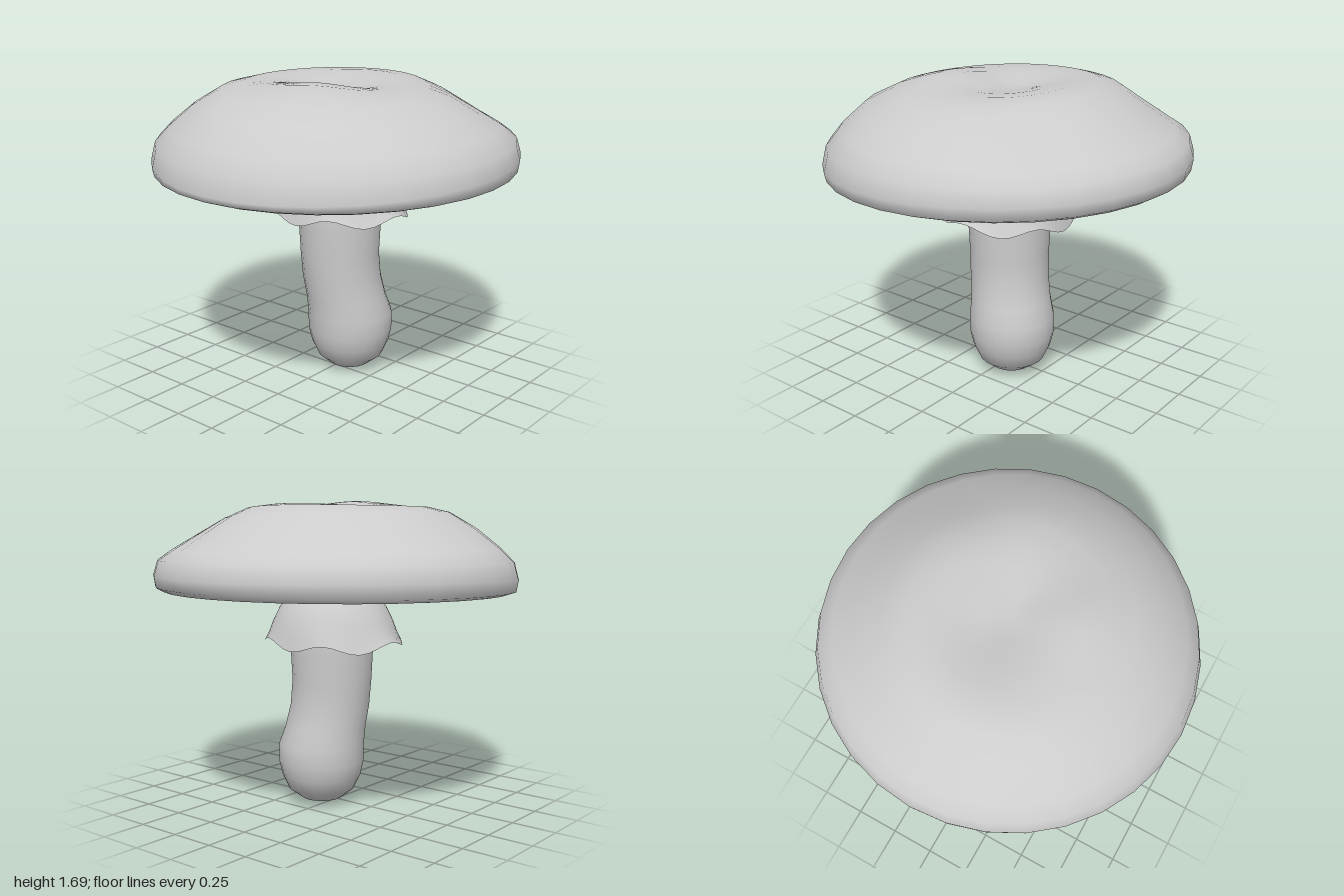
import * as THREE from 'three';
import { mergeVertices } from 'three/addons/utils/BufferGeometryUtils.js';

const material = new THREE.MeshStandardMaterial({ color: 0xcccccc, roughness: 0.8 });

// Smooth skin through closed rings; point(row, angle, t) returns [x, y, z].
function loft(name, rows, sides, point, mat = material) {
  const positions = [], index = [];
  rows.forEach((row, i) => {
    for (let j = 0; j < sides; j++) {
      positions.push(...point(row, (j / sides) * Math.PI * 2, i / (rows.length - 1)));
      if (i === rows.length - 1) continue;
      const k = (j + 1) % sides, a = i * sides, b = a + sides;
      index.push(a + j, b + j, b + k, a + j, b + k, a + k);
    }
  });
  let geometry = new THREE.BufferGeometry();
  geometry.setAttribute('position', new THREE.Float32BufferAttribute(positions, 3));
  geometry.setIndex(index);
  geometry = mergeVertices(geometry, 1e-5);
  geometry.computeVertexNormals();
  const mesh = new THREE.Mesh(geometry, mat);
  mesh.name = name;
  return mesh;
}

// Blend of four heights given towards +x, +z, -x and -z.
function around([px, pz, nx, nz], a) {
  return (px + pz + nx + nz) / 4 + ((px - nx) / 2) * Math.cos(a) + ((pz - nz) / 2) * Math.sin(a)
    + ((px + nx - pz - nz) / 4) * Math.cos(2 * a);
}

// Cap: shallow underside, rolled rim, uneven shoulder and dimpled crown.
function createCap() {
  const rows = [
    [0.18, 1.22, 1.22, 1.22, 1.22],
    [0.2, 1.255, 1.255, 1.255, 1.255],
    [0.26, 1.28, 1.28, 1.28, 1.28],
    [0.4, 1.3, 1.3, 1.3, 1.3],
    [0.6, 1.3, 1.295, 1.29, 1.295],
    [0.8, 1.285, 1.275, 1.265, 1.28],
    [0.88, 1.26, 1.24, 1.225, 1.25],
    [0.92, 1.225, 1.205, 1.185, 1.215],
    [0.95, 1.215, 1.195, 1.175, 1.205],
    [0.99, 1.24, 1.21, 1.19, 1.22],
    [1.0, 1.3, 1.27, 1.22, 1.29],
    [0.975, 1.385, 1.36, 1.33, 1.375],
    [0.9, 1.43, 1.44, 1.42, 1.44],
    [0.77, 1.52, 1.53, 1.545, 1.53],
    [0.62, 1.615, 1.61, 1.615, 1.63],
    [0.5, 1.665, 1.64, 1.645, 1.66],
    [0.38, 1.675, 1.65, 1.665, 1.655],
    [0.26, 1.66, 1.645, 1.665, 1.64],
    [0.13, 1.635, 1.625, 1.635, 1.615],
    [0, 1.615, 1.615, 1.615, 1.615],
  ];
  return loft('cap', rows, 32, ([r, ...heights], a, t) => {
    const x = r * Math.cos(a), z = r * Math.sin(a);
    // Low hump on the crown and a hollow in the shoulder, upper skin only.
    const mound = (cx, cz, width) => Math.exp(-((x - cx) ** 2 + (z - cz) ** 2) / width ** 2);
    const lumps = t > 0.55 ? 0.025 * mound(-0.32, 0.15, 0.2) - 0.025 * mound(0.5, 0.5, 0.22) : 0;
    return [x, around(heights, a) + lumps, z];
  });
}

// Stem: bulbous bent foot and slim shaft. Rows: radius, y, centre x, centre z.
function createStem() {
  const rows = [
    [0, 0, 0.06, 0.04],
    [0.115, 0.025, 0.065, 0.05],
    [0.185, 0.08, 0.07, 0.05],
    [0.222, 0.16, 0.07, 0.05],
    [0.24, 0.24, 0.07, 0.05],
    [0.24, 0.34, 0.068, 0.05],
    [0.226, 0.44, 0.05, 0.035],
    [0.222, 0.56, 0.03, 0.02],
    [0.222, 0.7, 0.022, 0.012],
    [0.23, 0.86, 0.022, 0.012],
    [0.225, 1.0, 0.02, 0.01],
    [0.2, 1.15, 0.015, 0.01],
    [0.182, 1.23, 0, 0],
  ];
  return loft('stem', rows, 24, ([r, y, cx, cz], a) =>
    [cx + r * Math.cos(a), y, cz + r * Math.sin(a)]);
}

// Skirt: thin bell-shaped collar with a wavy, slightly flared hem.
function createSkirt() {
  const rows = [[0.378, 0.93], [0.355, 0.975], [0.33, 1.04], [0.295, 1.11], [0.25, 1.17], [0.185, 1.22]];
  const thin = material.clone();
  thin.side = THREE.DoubleSide;
  return loft('skirt', rows, 48, ([r, y], a, t) => {
    const hem = (1 - t) ** 3;
    const wave = 0.015 * Math.cos(a) + 0.015 * Math.sin(a) + 0.022 * Math.cos(6 * a);
    const radius = r - hem * 0.018 * Math.cos(2 * a);
    return [0.02 + radius * Math.cos(a), y - hem * (wave - 0.03 * Math.sin(a)), 0.005 + radius * Math.sin(a)];
  }, thin);
}

export function createModel() {
  const group = new THREE.Group();
  group.name = 'mushroom';
  group.add(createCap(), createStem(), createSkirt());
  return group;
}
